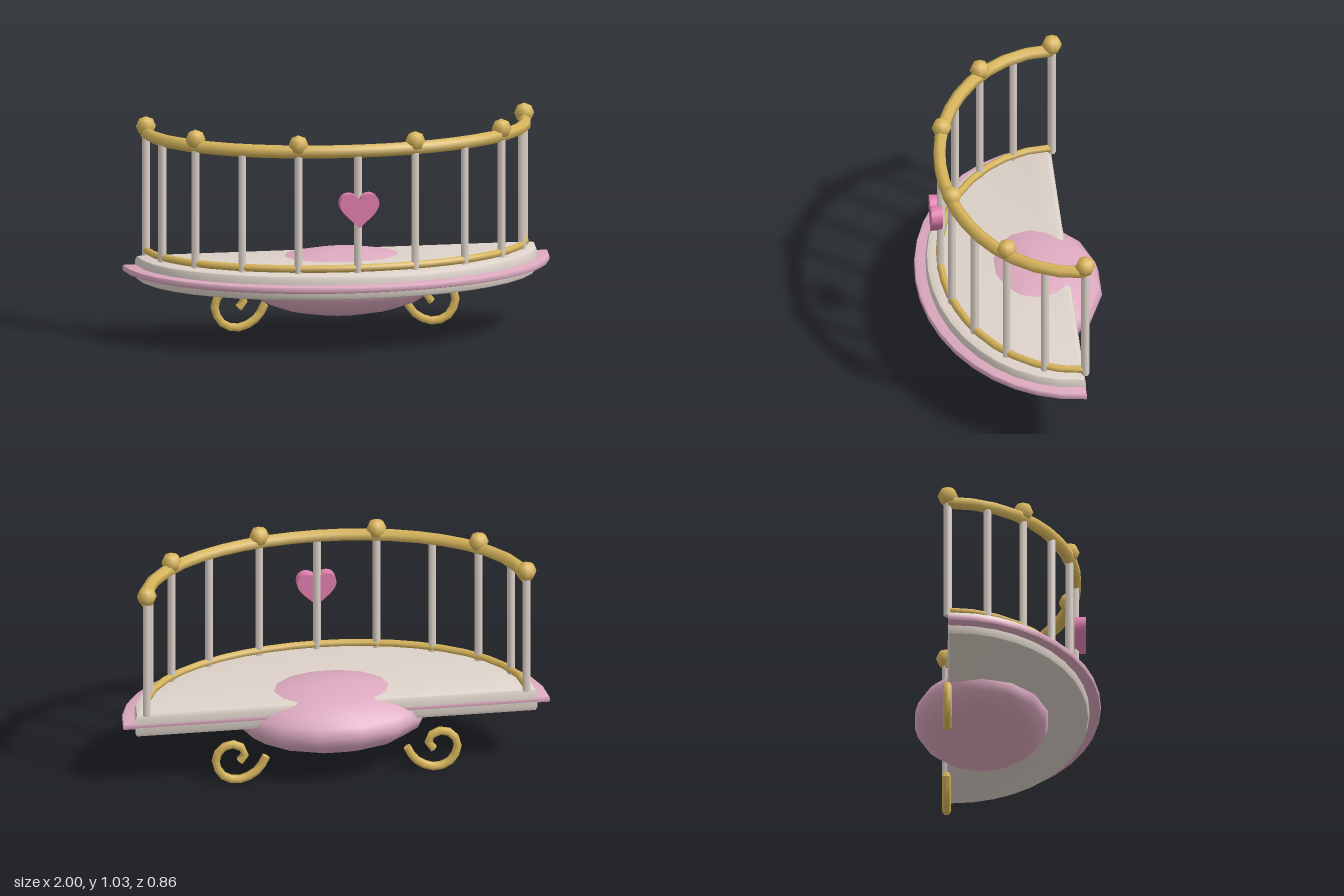
import * as THREE from 'three';
import { toCreasedNormals } from 'three/addons/utils/BufferGeometryUtils.js';

const mat = (color) => new THREE.MeshStandardMaterial({ color });
const BACK = -0.28; // z of the straight back edge

export function createModel() {
  const root = new THREE.Group();
  const ivory = mat(0xded3ca), gold = mat(0xd9b65c), pink = mat(0xdca9bf), rose = mat(0xdf7dab);

  const add = (name, geometry, material, parent = root) => {
    const mesh = new THREE.Mesh(geometry, material);
    mesh.name = name;
    parent.add(mesh);
    return mesh;
  };

  // Half-elliptical slab with rounded edges
  const halfSlab = (a, c, y0, y1, bevel) => {
    const pts = [];
    for (let i = 0; i <= 20; i++) {
      const t = (i / 20) * Math.PI;
      pts.push(new THREE.Vector2((a - bevel) * Math.cos(t), (c - 2 * bevel) * Math.sin(t)));
    }
    const g = new THREE.ExtrudeGeometry(new THREE.Shape(pts), {
      depth: y1 - y0 - 2 * bevel, bevelEnabled: true, bevelThickness: bevel, bevelSize: bevel, bevelSegments: 2,
    });
    g.rotateX(Math.PI / 2).translate(0, y1 - bevel, BACK + bevel);
    return toCreasedNormals(g, 0.6);
  };

  // Tube with closed ends
  const rod = (name, curve, segments, radius, parent = root) => {
    const group = new THREE.Group();
    group.name = name;
    parent.add(group);
    add(name + 'Tube', new THREE.TubeGeometry(curve, segments, radius, 6), gold, group);
    for (const [t, sign] of [[0, -1], [1, 1]]) {
      const cap = add(name + 'End', new THREE.CircleGeometry(radius, 6), gold, group);
      const p = curve.getPointAt(t);
      cap.position.copy(p);
      cap.lookAt(p.clone().addScaledVector(curve.getTangentAt(t), sign));
    }
    return group;
  };

  // Balcony floor and its trim
  add('floor', halfSlab(0.94, 0.66, 0.27, 0.39, 0.024), ivory);
  add('floorTrim', halfSlab(1.0, 0.713, 0.314, 0.346, 0.01), pink);

  // Rounded cushion running through the floor
  const bulb = add('supportBulb', new THREE.SphereGeometry(1, 14, 10), pink);
  bulb.scale.set(0.45, 0.155, 0.315);
  bulb.position.set(0, 0.266, -0.12);

  // Curved rails
  const railPoint = (t, y) => new THREE.Vector3(0.89 * Math.cos(t), y, BACK + 0.595 * Math.sin(t));
  const railCurve = (y) => new THREE.CatmullRomCurve3(
    Array.from({ length: 21 }, (_, i) => railPoint((i / 20) * Math.PI, y)));
  rod('topRail', railCurve(0.963), 20, 0.031);
  rod('bottomRail', railCurve(0.41), 20, 0.018);

  // Balusters, with a knob above every second one
  const postGeo = new THREE.CylinderGeometry(0.019, 0.019, 0.57, 6);
  const knobGeo = new THREE.SphereGeometry(0.047, 8, 4);
  for (let i = 0; i <= 10; i++) {
    const t = (i / 10) * Math.PI;
    const post = add('baluster', postGeo, ivory);
    post.position.copy(railPoint(t, 0.67));
    post.rotation.y = -t;
    if (i % 2 === 0) add('knob', knobGeo, gold).position.copy(railPoint(t, 0.995));
  }

  // Heart on the front baluster
  const heart = new THREE.Shape();
  heart.moveTo(0, -0.085);
  heart.bezierCurveTo(-0.03, -0.05, -0.092, -0.015, -0.092, 0.03);
  heart.bezierCurveTo(-0.092, 0.09, -0.015, 0.09, 0, 0.045);
  heart.bezierCurveTo(0.015, 0.09, 0.092, 0.09, 0.092, 0.03);
  heart.bezierCurveTo(0.092, -0.015, 0.03, -0.05, 0, -0.085);
  const heartGeo = new THREE.ExtrudeGeometry(heart, { depth: 0.052, bevelEnabled: false, curveSegments: 8 });
  add('heart', toCreasedNormals(heartGeo, 0.7), rose).position.set(0, 0.692, 0.311);

  // Mirrored scroll brackets under the back edge
  const spiral = [[0.33, 0.137], [0.37, 0.07], [0.455, 0.028], [0.53, 0.05], [0.567, 0.125],
    [0.545, 0.185], [0.49, 0.209], [0.435, 0.18], [0.432, 0.145], [0.455, 0.12]];
  for (const side of [1, -1]) {
    const curve = new THREE.CatmullRomCurve3(spiral.map(([x, y]) => new THREE.Vector3(side * x, y, BACK)));
    rod(side > 0 ? 'leftScroll' : 'rightScroll', curve, 14, 0.02);
  }
  return root;
}
